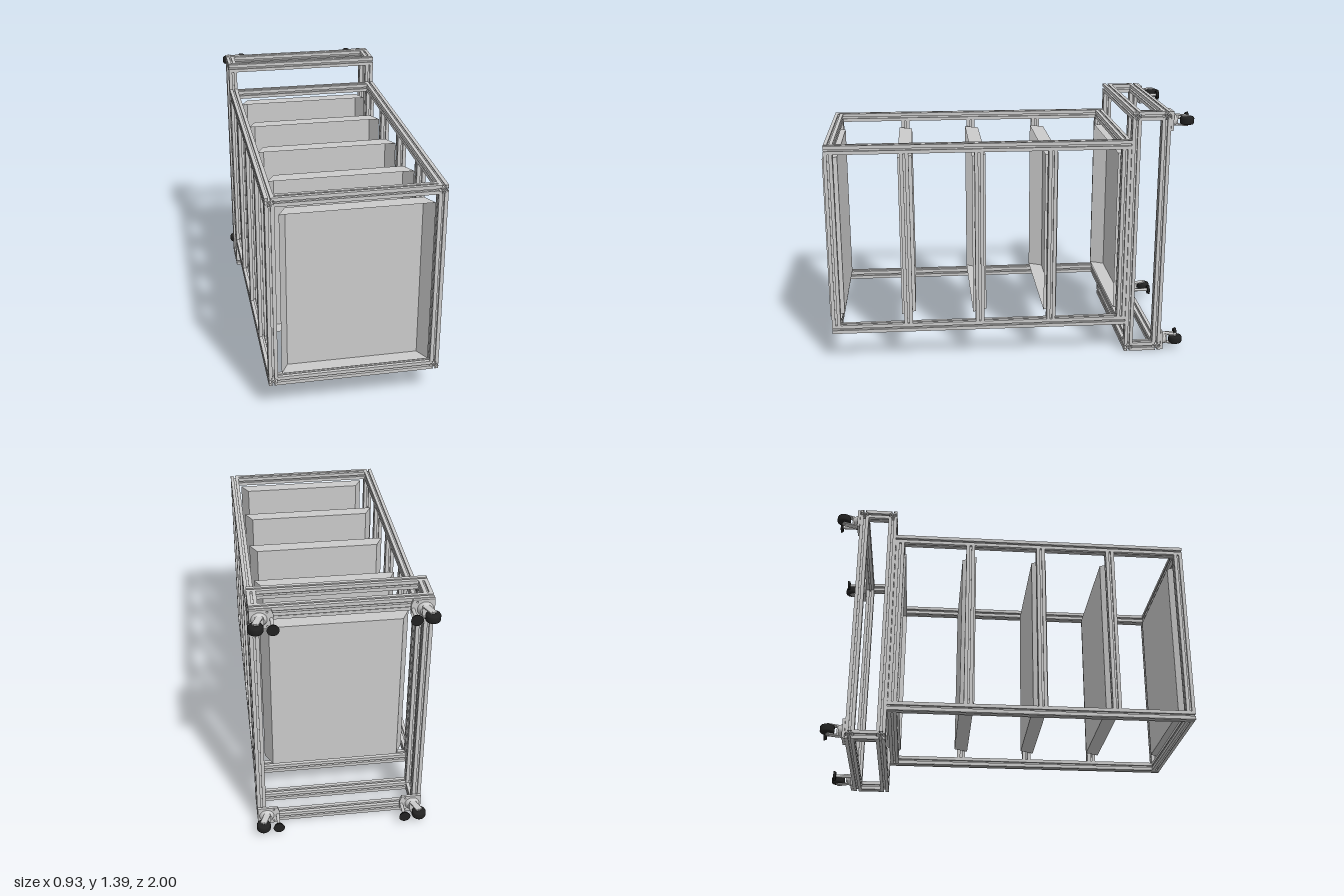
import * as THREE from 'three';

const grey = new THREE.MeshStandardMaterial({ color: 0xcccccc });
const sheet = new THREE.MeshStandardMaterial({ color: 0xcccccc, side: THREE.DoubleSide });
const rubber = new THREE.MeshStandardMaterial({ color: 0x222222 });

const W = 0.048;          // profile width
const X = 0.43;           // side member centre line
const LOW = 0.19, HIGH = 1.21, TOP = 1.39;

// Slotted square section: one side's outline repeated by quarter turns
function slottedSection() {
  const h = W / 2;
  const side = [[-h, -h], [-0.005, -h], [-0.005, -h + 0.004], [-0.011, -h + 0.004],
    [-0.006, -0.009], [0.006, -0.009], [0.011, -h + 0.004], [0.005, -h + 0.004], [0.005, -h]];
  const points = [];
  for (let i = 0; i < 4; i++) {
    for (const [x, y] of side) {
      points.push(new THREE.Vector2(x, y).rotateAround(new THREE.Vector2(), i * Math.PI / 2));
    }
  }
  const shape = new THREE.Shape(points);
  shape.holes.push(new THREE.Path().absarc(0, 0, 0.0045, 0, Math.PI * 2, true));
  return shape;
}
const section = slottedSection();

// Bar of the section along an axis, centred at a point
function bar(parent, name, axis, length, x, y, z) {
  const geo = new THREE.ExtrudeGeometry(section, { depth: length, bevelEnabled: false, curveSegments: 6 });
  geo.translate(0, 0, -length / 2);
  if (axis === 'x') geo.rotateY(Math.PI / 2);
  if (axis === 'y') geo.rotateX(Math.PI / 2);
  return add(parent, name, geo, grey, x, y, z);
}

function add(parent, name, geo, material, x = 0, y = 0, z = 0) {
  const mesh = new THREE.Mesh(geo, material);
  mesh.name = name;
  mesh.position.set(x, y, z);
  parent.add(mesh);
  return mesh;
}

// Open tray: flat back, flared sides, square top and bottom flanges
function makeTray() {
  const a = 0.347, b = 0.388, depth = 0.077, y0 = 0.245, y1 = 1.15;
  const tray = new THREE.Group();
  tray.name = 'tray';
  add(tray, 'trayBack', new THREE.PlaneGeometry(2 * a, y1 - y0), sheet, 0, (y0 + y1) / 2, -depth);
  for (const s of [-1, 1]) {
    const flare = new THREE.PlaneGeometry(Math.hypot(b - a, depth), y1 - y0);
    flare.rotateY(-s * Math.atan2(depth, b - a));
    add(tray, 'traySide', flare, sheet, s * (a + b) / 2, (y0 + y1) / 2, -depth / 2);
  }
  const flange = new THREE.Shape([[-a, -depth], [a, -depth], [b, 0], [-b, 0]]
    .map(([x, z]) => new THREE.Vector2(x, -z)));
  for (const y of [y0, y1]) {
    add(tray, 'trayFlange', new THREE.ShapeGeometry(flange).rotateX(-Math.PI / 2), sheet, 0, y, 0);
  }
  return tray;
}

// Caster and levelling foot on a corner plate, built for the +x side
function makeCaster() {
  const caster = new THREE.Group();
  caster.name = 'caster';
  const plate = new THREE.Shape([[0.335, -0.026], [0.345, -0.053], [0.405, -0.053], [0.453, -0.053],
    [0.453, 0.053], [0.345, 0.053], [0.335, 0.026]].map(([x, y]) => new THREE.Vector2(x, y)));
  for (const y of [-0.04, 0.04]) {
    plate.holes.push(new THREE.Path().absarc(0.365, y, 0.005, 0, Math.PI * 2, true));
  }
  add(caster, 'mountPlate', new THREE.ExtrudeGeometry(plate, { depth: 0.014, bevelEnabled: false }), grey, 0, 0, -0.884);

  const round = (r1, r2, h) => new THREE.CylinderGeometry(r1, r2, h, 24).rotateX(-Math.PI / 2);
  add(caster, 'swivel', round(0.028, 0.04, 0.022), grey, 0.405, 0, -0.895);

  // Fork cheeks lean outward to the axle
  for (const y of [-0.026, 0.026]) {
    const cheek = add(caster, 'fork', new THREE.BoxGeometry(0.034, 0.006, 0.075), grey, 0.415, y, -0.932);
    cheek.rotation.y = -0.4;
  }
  add(caster, 'forkCrown', new THREE.BoxGeometry(0.04, 0.056, 0.01), grey, 0.405, 0, -0.908);
  add(caster, 'axle', new THREE.CylinderGeometry(0.008, 0.008, 0.062, 16), grey, 0.427, 0, -0.961);

  const tread = [[0.008, -0.022], [0.026, -0.022], [0.034, -0.019], [0.038, -0.012],
    [0.038, 0.012], [0.034, 0.019], [0.026, 0.022], [0.008, 0.022]];
  add(caster, 'wheel', new THREE.LatheGeometry(tread.map(([r, y]) => new THREE.Vector2(r, y)), 32), rubber, 0.427, 0, -0.961);

  add(caster, 'footStem', round(0.009, 0.009, 0.11), grey, 0.345, 0, -0.925);
  add(caster, 'footPad', round(0.031, 0.025, 0.014), rubber, 0.345, 0, -0.977);
  return caster;
}

export function createModel() {
  const model = new THREE.Group();
  const span = 2 * X - W;

  // Rack: long rails, end cross rails, five pairs of posts with trays
  const rack = new THREE.Group();
  rack.name = 'rack';
  model.add(rack);
  for (const y of [LOW, HIGH]) {
    for (const s of [-1, 1]) bar(rack, 'longRail', 'z', 1.647, s * X, y, 0.1635);
    for (const z of [0.963, -0.634]) bar(rack, 'crossRail', 'x', span, 0, y, z);
  }
  for (let i = 0; i < 5; i++) {
    const z = 1 - i * 0.4;
    for (const s of [-1, 1]) {
      bar(rack, 'post', 'y', HIGH - LOW - W, s * X, (LOW + HIGH) / 2, z - 0.037 + i * 0.0007);
    }
    const tray = makeTray();
    tray.position.z = z;
    rack.add(tray);
  }

  // Wheeled base frame at the back
  const base = new THREE.Group();
  base.name = 'baseFrame';
  model.add(base);
  const zIn = -0.684, zOut = -0.845;
  for (const z of [zIn, zOut]) {
    for (const y of [W / 2, TOP - W / 2]) bar(base, 'baseCrossRail', 'x', 2 * X + W, 0, y, z);
    for (const s of [-1, 1]) bar(base, 'basePost', 'y', TOP - 2 * W, s * X, TOP / 2, z);
  }
  for (const s of [-1, 1]) {
    for (const y of [W / 2, TOP - W / 2]) {
      bar(base, 'baseTie', 'z', zIn - zOut - W, s * X, y, (zIn + zOut) / 2);
    }
  }

  // Casters at the four corners, left side turned half round to mirror
  for (const y of [0.055, TOP - 0.055]) {
    for (const s of [-1, 1]) {
      const caster = makeCaster();
      if (s < 0) caster.rotation.z = Math.PI;
      caster.position.y = y;
      model.add(caster);
    }
  }
  return model;
}
